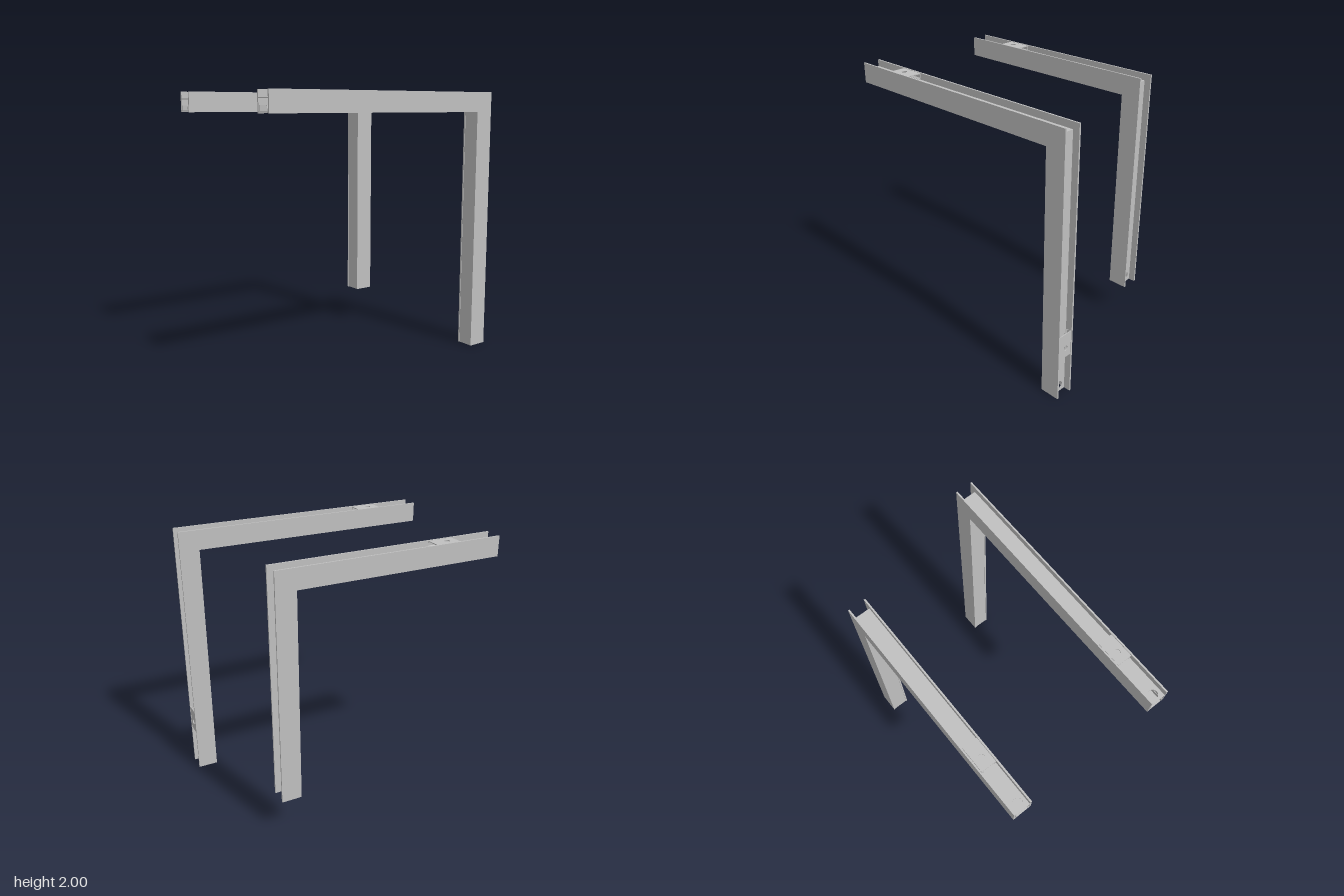
import * as THREE from 'three';

const W = 0.069;   // half width of the profile
const T = 0.012;   // side wall thickness
const D = 0.15;    // profile depth
const IN = W - T;  // half width between the walls

export function createModel() {
  const metal = new THREE.MeshStandardMaterial({ color: 0xc0c0c0 });
  metal.name = 'aluminium grey';

  // One corner frame: an arm along z and a leg along y, meeting at the top back.
  function frame(name, x, zBack, yBottom, legClip) {
    const group = new THREE.Group();
    group.name = name;
    group.position.x = x;
    const length = { arm: 1 - zBack, leg: 2 - yBottom };

    const add = (part, geometry) => {
      const mesh = new THREE.Mesh(geometry, metal);
      mesh.name = part;
      group.add(mesh);
    };

    // Extrudes a section of [x, depth from the outer face] from s0 to s1, measured from the free tip
    function run(part, limb, pts, s0, s1) {
      const onArm = limb === 'arm';
      const shape = new THREE.Shape(pts.map(([px, d]) => new THREE.Vector2(px, onArm ? 2 - d : zBack + d)));
      const g = new THREE.ExtrudeGeometry(shape, { depth: s1 - s0, bevelEnabled: false });
      if (onArm) g.translate(0, 0, 1 - s1);
      else g.rotateX(Math.PI / 2).translate(0, yBottom + s1, 0);
      add(part, g);
    }

    // Flat strip with one round hole, lying across the limb at depth d
    function strip(part, limb, half, s0, s1, d, thick, holeS, holeR) {
      const onArm = limb === 'arm';
      const at = (s) => (onArm ? 1 - s : yBottom + s);
      const shape = new THREE.Shape([[-half, s0], [half, s0], [half, s1], [-half, s1]]
        .map(([px, s]) => new THREE.Vector2(px, at(s))));
      if (holeR) {
        const hole = new THREE.Path();
        hole.absarc(0, at(holeS), holeR, 0, Math.PI * 2);
        shape.holes.push(hole);
      }
      const g = new THREE.ExtrudeGeometry(shape, { depth: thick, bevelEnabled: false, curveSegments: 24 });
      if (onArm) g.rotateX(Math.PI / 2).translate(0, 2 - d, 0);
      else g.translate(0, 0, zBack + d);
      add(part, g);
    }

    // L-shaped side walls
    const ell = new THREE.Shape([[1, 2], [zBack, 2], [zBack, yBottom], [zBack + D, yBottom], [zBack + D, 2 - D], [1, 2 - D]]
      .map(([z, y]) => new THREE.Vector2(z, y)));
    for (const right of [-IN, W]) {
      const g = new THREE.ExtrudeGeometry(ell, { depth: T, bevelEnabled: false });
      add('sideWall', g.rotateY(-Math.PI / 2).translate(right, 0, 0));
    }

    for (const limb of ['arm', 'leg']) {
      const L = length[limb];
      // Channel floor with a screw hole, and the closed inner face
      strip(limb + 'ChannelFloor', limb, IN, 0, L - 0.05, 0.05, 0.007, 0.05, 0.034);
      strip(limb + 'InnerFace', limb, IN, 0, L - D + 0.005, D - 0.011, 0.007);
      // Slanted ribs inside the hollow
      for (const m of [-1, 1]) {
        run(limb + 'Rib', limb, [[m * 0.052, 0.14], [m * 0.047, 0.14], [m * 0.043, 0.1], [m * 0.046, 0.1]], 0, L - D);
      }
      // Snap-in clip bridging the channel
      if (limb === 'arm' || legClip) {
        strip(limb + 'ClipPlate', limb, IN - 0.002, 0.325, 0.515, 0.002, 0.006, 0.4, 0.021);
        for (const m of [-1, 1]) {
          run(limb + 'ClipFoot', limb, [[m * 0.055, 0.008], [m * 0.052, 0.008], [m * 0.052, 0.034],
            [m * 0.04, 0.045], [m * 0.042, 0.047], [m * 0.055, 0.036]], 0.325, 0.515);
        }
      }
    }
    return group;
  }

  const model = new THREE.Group();
  model.name = 'cornerProfiles';
  model.add(frame('longFrame', 0.556, -1, 0, true));
  model.add(frame('shortFrame', -0.556, -0.72, 0.28, false));
  return model;
}
